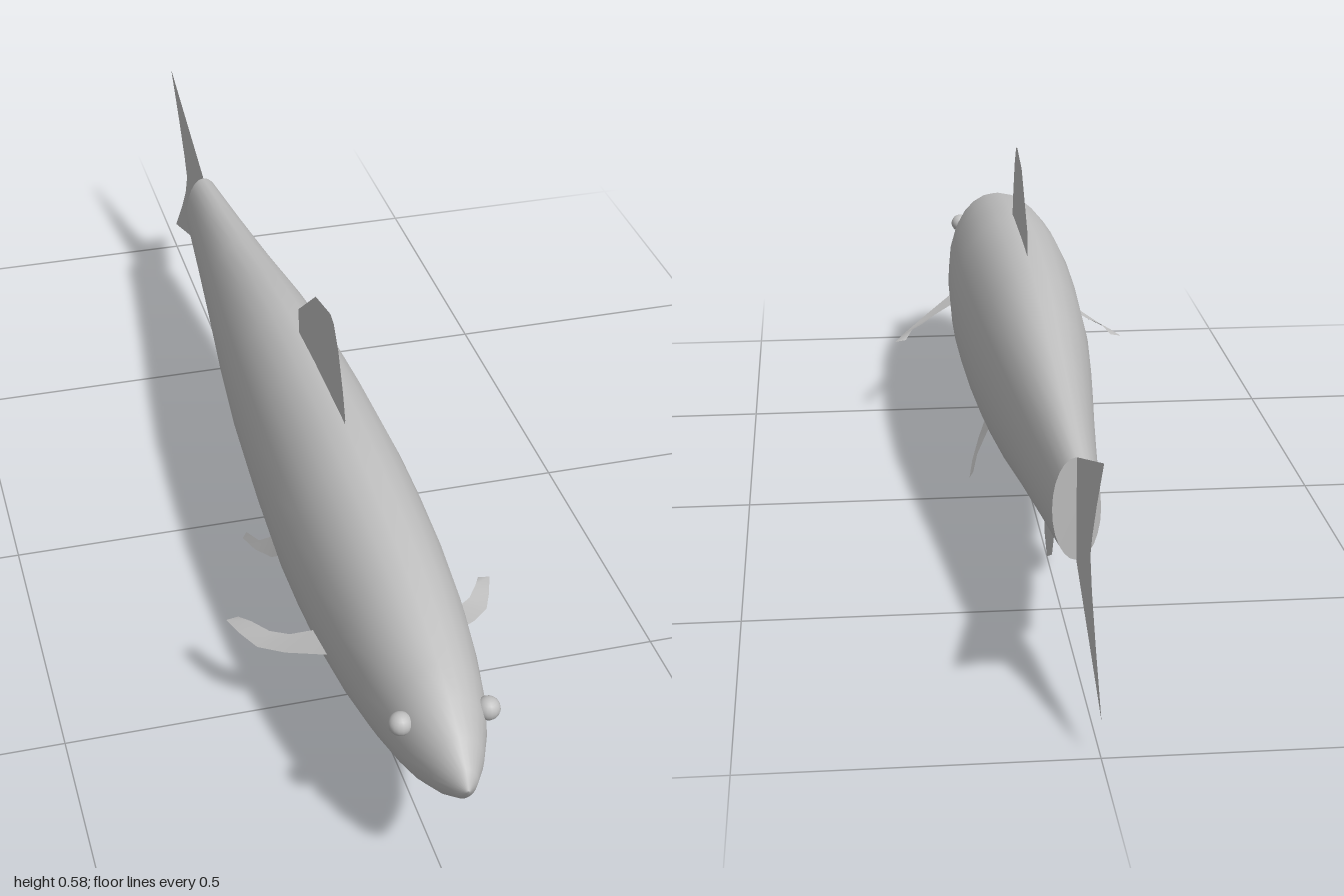
import * as THREE from 'three';

const skin = new THREE.MeshStandardMaterial({ color: 0xc0c0c0, side: THREE.DoubleSide });
skin.name = 'grey skin';

// Body stations from nose to tail: z, top, bottom, half width
const STATIONS = [
  [1, 0.25, 0.246, 0.002], [0.985, 0.277, 0.222, 0.019], [0.95, 0.307, 0.195, 0.04],
  [0.9, 0.337, 0.168, 0.061], [0.85, 0.358, 0.15, 0.075], [0.77, 0.381, 0.125, 0.09],
  [0.68, 0.402, 0.103, 0.102], [0.56, 0.42, 0.08, 0.111], [0.44, 0.431, 0.067, 0.115],
  [0.33, 0.437, 0.06, 0.116], [0.16, 0.436, 0.066, 0.111], [-0.02, 0.428, 0.078, 0.102],
  [-0.18, 0.407, 0.097, 0.088], [-0.36, 0.376, 0.125, 0.069], [-0.53, 0.352, 0.148, 0.052],
  [-0.7, 0.33, 0.17, 0.036],
];

function mesh(name, geometry) {
  const m = new THREE.Mesh(geometry, skin);
  m.name = name;
  return m;
}

function surface(points, index) {
  const g = new THREE.BufferGeometry();
  g.setAttribute('position', new THREE.Float32BufferAttribute(points.flat(), 3));
  g.setIndex(index);
  g.computeVertexNormals();
  return g;
}

// Oval rings joined into a smooth skin
function bodyGeometry(sides = 24) {
  const points = [], index = [];
  STATIONS.forEach(([z, top, bottom, w], i) => {
    for (let j = 0; j < sides; j++) {
      const a = (j / sides) * Math.PI * 2;
      points.push([w * Math.sin(a), (top + bottom) / 2 + ((top - bottom) / 2) * Math.cos(a), z]);
      if (i === STATIONS.length - 1) continue;
      const p = i * sides + j, q = i * sides + ((j + 1) % sides);
      index.push(p, q, p + sides, q, q + sides, p + sides);
    }
  });
  return surface(points, index);
}

// Flat fin in the middle plane, outlined as z, y pairs
function flatFin(name, outline) {
  const shape = new THREE.Shape(outline.map(([z, y]) => new THREE.Vector2(z, y)));
  return mesh(name, new THREE.ShapeGeometry(shape).rotateY(-Math.PI / 2));
}

// Curved paired fin: rows of a leading and a trailing point
function bladeFin(name, rows, side) {
  const points = rows.flat().map(([x, y, z]) => [x * side, y, z]);
  const index = [];
  for (let i = 0; i < rows.length - 1; i++) {
    const p = i * 2;
    if (side > 0) index.push(p, p + 2, p + 1, p + 1, p + 2, p + 3);
    else index.push(p, p + 1, p + 2, p + 1, p + 3, p + 2);
  }
  return mesh(name, surface(points, index));
}

const PECTORAL = [
  [[0.1, 0.208, 0.625], [0.1, 0.206, 0.56]],
  [[0.155, 0.18, 0.572], [0.14, 0.188, 0.54]],
  [[0.19, 0.164, 0.53], [0.166, 0.178, 0.513]],
  [[0.208, 0.162, 0.49], [0.188, 0.176, 0.48]],
  [[0.222, 0.161, 0.45], [0.202, 0.164, 0.45]],
];
const PELVIC = [
  [[0.06, 0.088, 0.22], [0.058, 0.092, 0.15]],
  [[0.08, 0.053, 0.178], [0.071, 0.068, 0.14]],
  [[0.096, 0.03, 0.12], [0.087, 0.044, 0.115]],
  [[0.105, 0.016, 0.066], [0.098, 0.028, 0.066]],
];

export function createModel() {
  const fish = new THREE.Group();
  fish.name = 'fish';
  fish.add(mesh('body', bodyGeometry()));

  // Flat end of the body in front of the tail fin
  const cap = mesh('tailStump', new THREE.CircleGeometry(1, 24).rotateY(Math.PI));
  cap.scale.set(0.036, 0.08, 1);
  cap.position.set(0, 0.25, -0.7);
  fish.add(cap);

  // Middle fins
  fish.add(
    flatFin('dorsalFin', [[0.35, 0.42], [0.35, 0.445], [0.335, 0.485], [0.305, 0.545], [0.275, 0.58], [0.255, 0.586],
      [0.165, 0.565], [0.055, 0.475], [0.06, 0.42]]),
    flatFin('analFin', [[-0.22, 0.12], [-0.232, 0.075], [-0.25, 0.03], [-0.285, 0.004], [-0.365, 0.04],
      [-0.405, 0.1], [-0.4, 0.14]]),
    flatFin('tailFin', [[-0.7, 0.33], [-1, 0.43], [-0.93, 0.345], [-0.885, 0.283], [-0.865, 0.245],
      [-0.885, 0.2], [-0.93, 0.14], [-1, 0.06], [-0.7, 0.17]]),
  );

  // Paired fins and eyes
  for (const [label, side] of [['left', 1], ['right', -1]]) {
    fish.add(bladeFin(label + 'PectoralFin', PECTORAL, side), bladeFin(label + 'PelvicFin', PELVIC, side));
    const eye = mesh(label + 'Eye', new THREE.SphereGeometry(0.018, 16, 12));
    eye.position.set(side * 0.066, 0.29, 0.885);
    fish.add(eye);
  }
  return fish;
}
